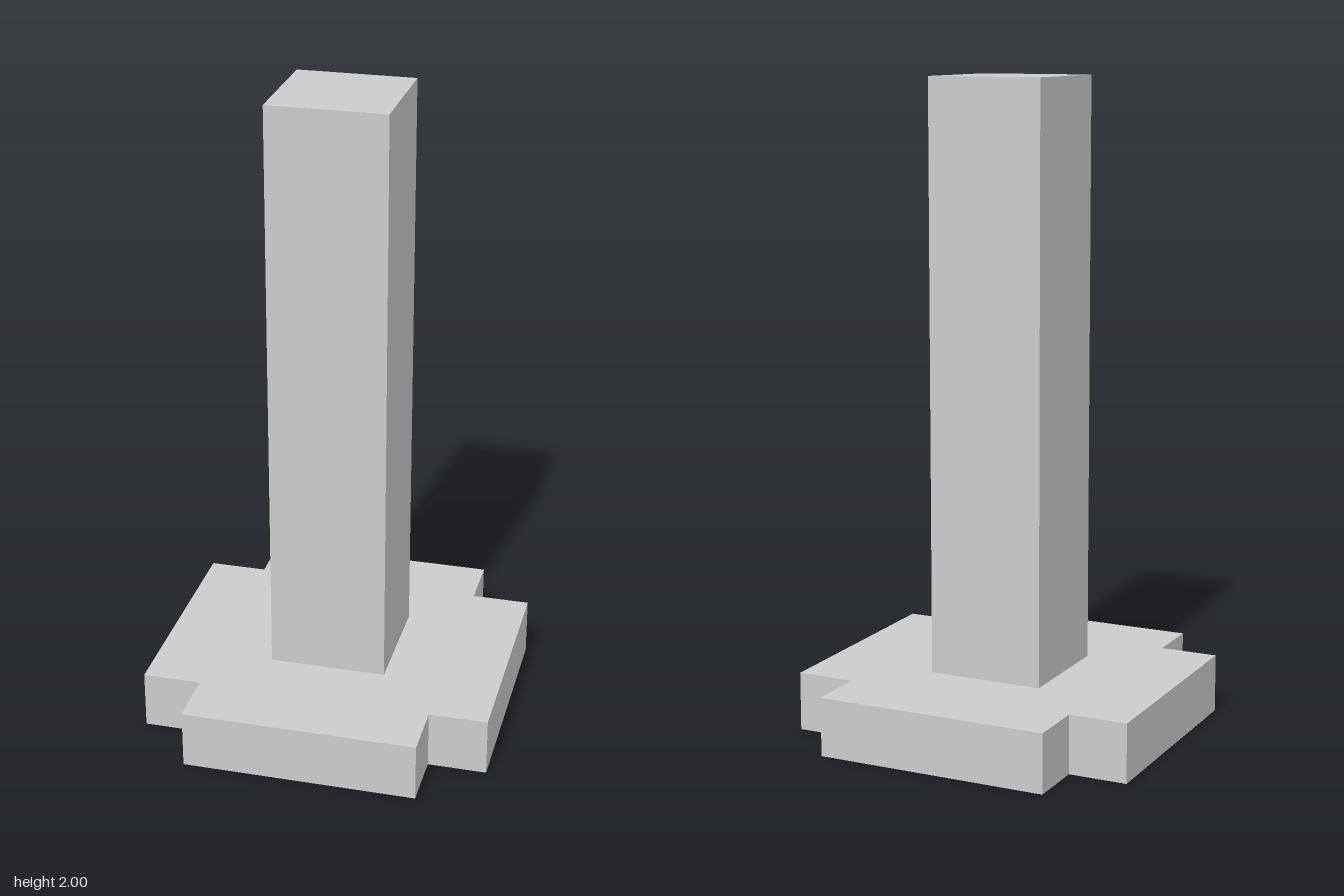
import * as THREE from 'three';

const U = 2 / 11; // model is 11 units tall

export function createModel() {
  const group = new THREE.Group();
  const material = new THREE.MeshStandardMaterial({ color: 0xcccccc, flatShading: true });

  // Base: square plate with a notch cut out of each corner
  const outer = 3 * U, inner = 2 * U;
  const points = [];
  for (let i = 0; i < 4; i++) {
    const corner = [[outer, inner], [inner, inner], [inner, outer]];
    for (const [x, y] of corner) {
      points.push(new THREE.Vector2(x, y).rotateAround(new THREE.Vector2(), i * Math.PI / 2));
    }
  }
  const baseGeometry = new THREE.ExtrudeGeometry(new THREE.Shape(points), { depth: U, bevelEnabled: false });
  baseGeometry.rotateX(-Math.PI / 2);
  const base = new THREE.Mesh(baseGeometry, material);
  base.name = 'base';
  group.add(base);

  // Square post standing on the base
  const post = new THREE.Mesh(new THREE.BoxGeometry(2 * U, 10 * U, 2 * U), material);
  post.position.y = 6 * U;
  post.name = 'post';
  group.add(post);

  return group;
}
